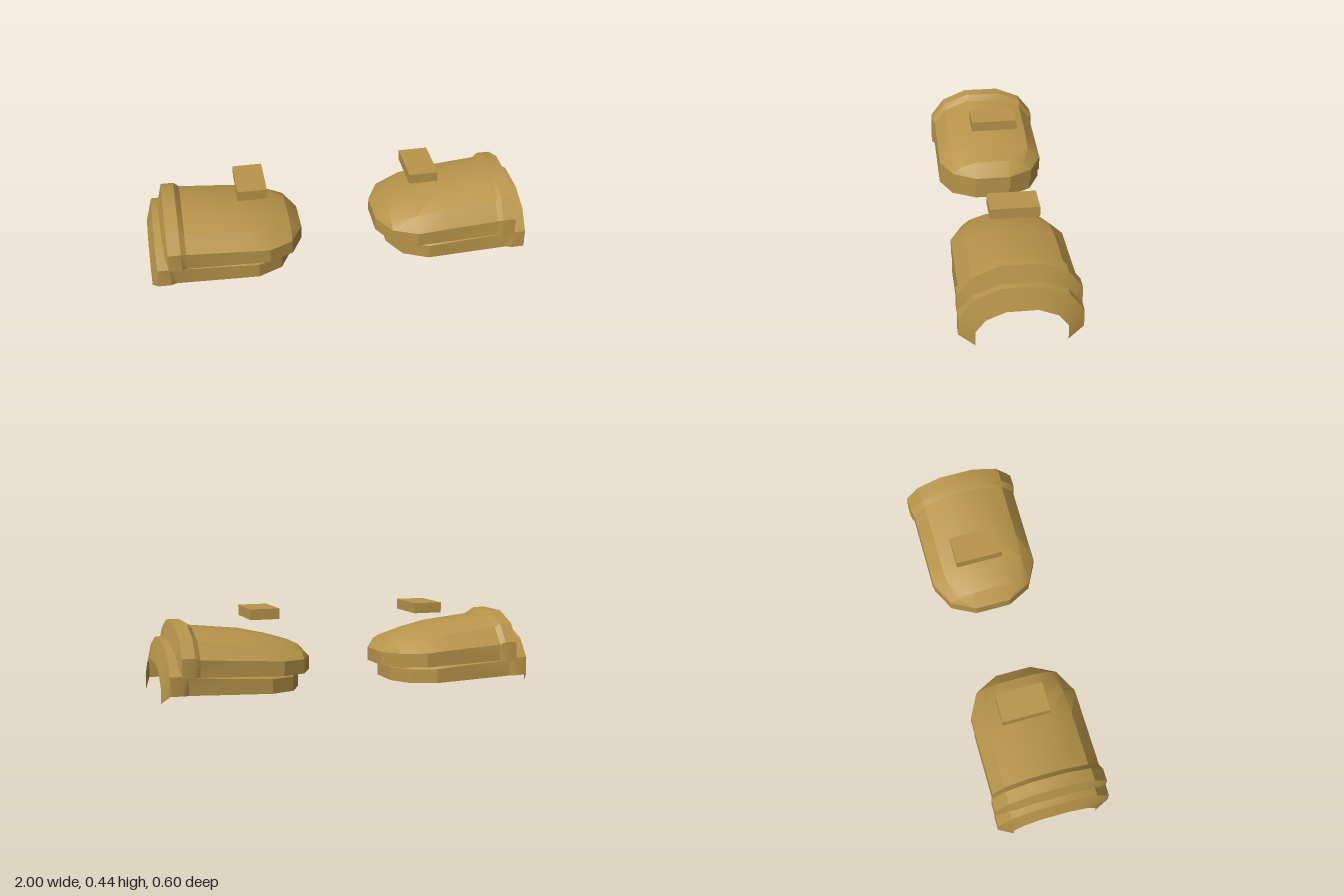
import * as THREE from 'three';
import { toCreasedNormals } from 'three/addons/utils/BufferGeometryUtils.js';

const brass = new THREE.MeshStandardMaterial({ color: 0xb8954a, side: THREE.DoubleSide });
brass.name = 'brass';

// Arched ribs from toe to open end: x, then four [z, y] points from hem to crown
const RIBS = [
  [0.20, [0.095, 0.112], [0.095, 0.112], [0.095, 0.112], [0.095, 0.112]],
  [0.20, [0.095, 0.112], [0.095, 0.183], [0.095, 0.183], [0.095, 0.183]],
  [0.265, [0.22, 0.112], [0.22, 0.185], [0.18, 0.22], [0.095, 0.25]],
  [0.39, [0.284, 0.116], [0.284, 0.19], [0.215, 0.255], [0.095, 0.288]],
  [0.53, [0.284, 0.121], [0.284, 0.2], [0.22, 0.278], [0.095, 0.32]],
  [0.815, [0.284, 0.132], [0.284, 0.218], [0.22, 0.303], [0.095, 0.35]],
  [0.842, [0.298, 0.134], [0.296, 0.23], [0.225, 0.325], [0.095, 0.38]],
  [0.908, [0.298, 0.135], [0.296, 0.23], [0.225, 0.325], [0.095, 0.38]],
  [0.94, [0.22, 0.088], [0.22, 0.165], [0.17, 0.23], [0.075, 0.27]],
];

// Lofts an open shell through the ribs; s is +1 or -1 for the side
function shellGeometry(s) {
  const rows = RIBS.map(([x, ...half]) => [
    ...half.map(([z, y]) => new THREE.Vector3(s * x, y, z)),
    ...half.slice().reverse().map(([z, y]) => new THREE.Vector3(s * x, y, -z)),
  ]);
  const pos = [];
  const tri = (a, b, c) => {
    if (new THREE.Triangle(a, b, c).getArea() < 1e-7) return;
    for (const p of s > 0 ? [a, b, c] : [a, c, b]) pos.push(p.x, p.y, p.z);
  };
  for (let i = 0; i < rows.length - 1; i++) {
    for (let j = 0; j < 7; j++) {
      const a = rows[i][j], b = rows[i + 1][j], c = rows[i + 1][j + 1], d = rows[i][j + 1];
      tri(a, b, c);
      tri(a, c, d);
    }
  }
  const geo = new THREE.BufferGeometry();
  geo.setAttribute('position', new THREE.Float32BufferAttribute(pos, 3));
  return toCreasedNormals(geo, 0.45);
}

function addMesh(parent, name, geo, x, y, z) {
  const mesh = new THREE.Mesh(geo, brass);
  mesh.name = name;
  mesh.position.set(x, y, z);
  parent.add(mesh);
}

export function createModel() {
  const model = new THREE.Group();
  model.name = 'platePair';
  for (const s of [1, -1]) {
    const side = new THREE.Group();
    side.name = s > 0 ? 'leftPlates' : 'rightPlates';
    const shell = shellGeometry(s);
    // Two identical overlapping shells, the lower one shifted outwards
    addMesh(side, 'upperShell', shell, 0, 0, 0);
    addMesh(side, 'lowerShell', shell, s * 0.06, -0.086, 0);
    // Small block floating above the shell
    addMesh(side, 'topBlock', new THREE.BoxGeometry(0.152, 0.054, 0.248), s * 0.45, 0.415, -0.024);
    model.add(side);
  }
  return model;
}
